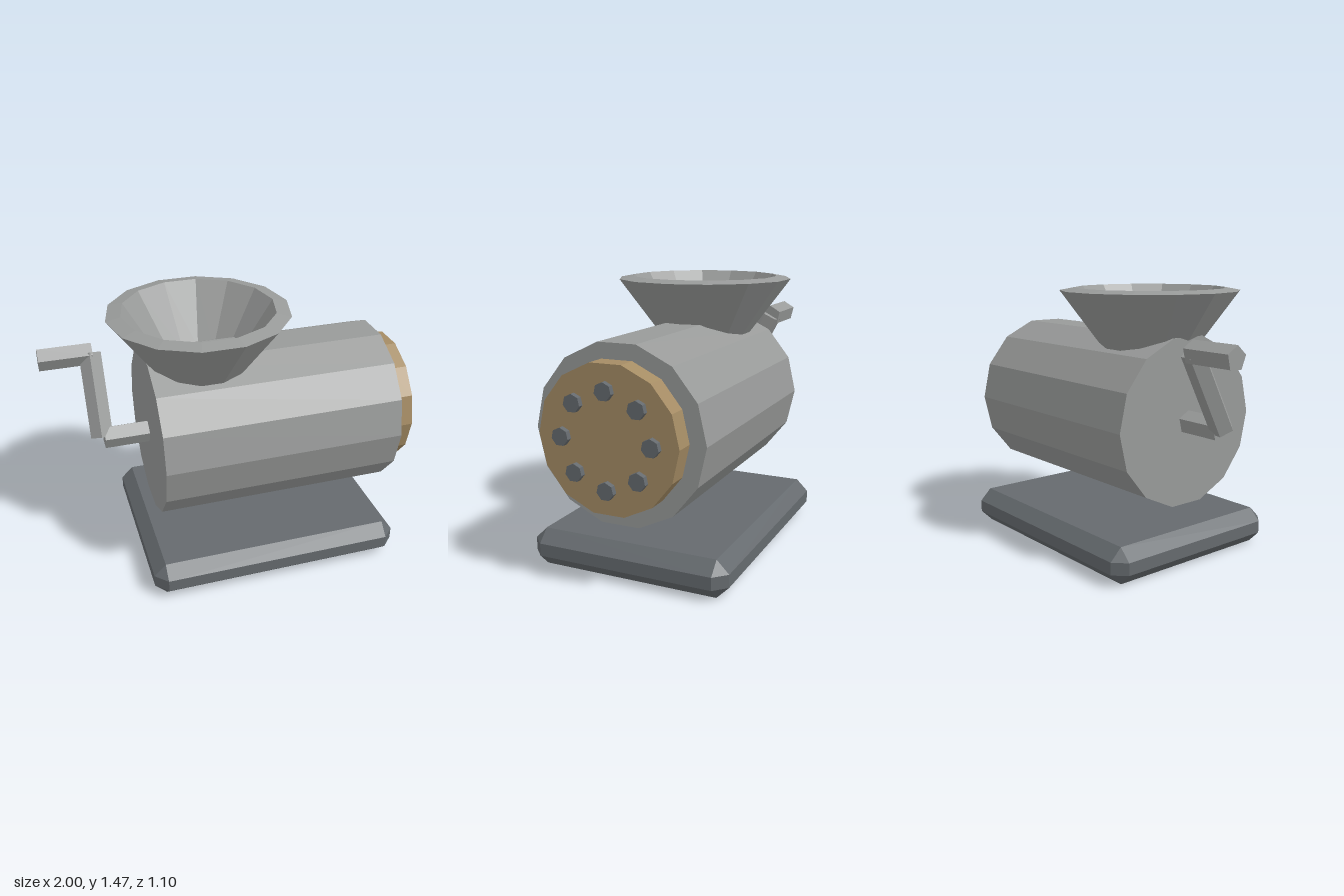
import * as THREE from 'three';
import { ConvexGeometry } from 'three/addons/geometries/ConvexGeometry.js';

const flat = (name, color) => {
  const m = new THREE.MeshStandardMaterial({ color, flatShading: true });
  m.name = name;
  return m;
};

export function createModel() {
  const group = new THREE.Group();
  const steel = flat('steel', 0x989a99);
  const iron = flat('dark iron', 0x656a6e);
  const brass = flat('brass', 0xa58c64);

  const add = (name, geometry, material) => {
    const mesh = new THREE.Mesh(geometry, material);
    mesh.name = name;
    group.add(mesh);
    return mesh;
  };

  // Prism lying along x; angle turns its first corner from +z towards +y
  const prismX = (name, material, r, sides, x0, x1, y, z, angle = 0) => {
    const g = new THREE.CylinderGeometry(r, r, x1 - x0, sides, 1, false, -THREE.MathUtils.degToRad(angle));
    g.rotateZ(-Math.PI / 2);
    return add(name, g, material).position.set((x0 + x1) / 2, y, z);
  };

  // Base slab with chamfered edges and corners
  const h = [0.7125, 0.1, 0.55], c = 0.066, corners = [];
  for (const sx of [-1, 1]) for (const sy of [-1, 1]) for (const sz of [-1, 1])
    for (let full = 0; full < 3; full++) {
      const d = h.map((v, i) => (i === full ? v : v - c));
      corners.push(new THREE.Vector3(sx * d[0], sy * d[1], sz * d[2]));
    }
  add('base', new ConvexGeometry(corners), iron).position.set(0.1475, 0.1, 0);

  // Barrel and end plate
  prismX('barrel', steel, 0.4615, 14, -0.465, 0.862, 0.77, 0);
  prismX('endPlate', brass, 0.375, 14, 0.86, 0.97, 0.775, 0);

  // Ring of bolts
  for (let i = 0; i < 8; i++) {
    const a = (i * Math.PI) / 4;
    prismX('bolt', iron, 0.046, 7, 0.965, 1, 0.775 + 0.24 * Math.sin(a), 0.24 * Math.cos(a), 90);
  }

  // Hopper funnel, outer wall up, over the rim and down the inner wall
  const profile = [[0.23, 1.1], [0.49, 1.45], [0.41, 1.465], [0.2, 1.14]]
    .map(([x, y]) => new THREE.Vector2(x, y));
  add('hopper', new THREE.LatheGeometry(profile, 14, Math.PI / 14), steel).position.x = -0.16;

  // Crank: shaft, slanted arm and handle
  prismX('crankShaft', steel, 0.063, 5, -0.71, -0.46, 0.77, 0, 85);
  prismX('crankHandle', steel, 0.063, 5, -1, -0.71, 1.182, -0.215, 85);
  const arm = new THREE.CylinderGeometry(0.063, 0.063, Math.hypot(0.411, 0.215), 5, 1, false, -0.12);
  arm.rotateX(-Math.atan2(0.215, 0.411));
  add('crankArm', arm, steel).position.set(-0.72, 0.9775, -0.1075);

  return group;
}
